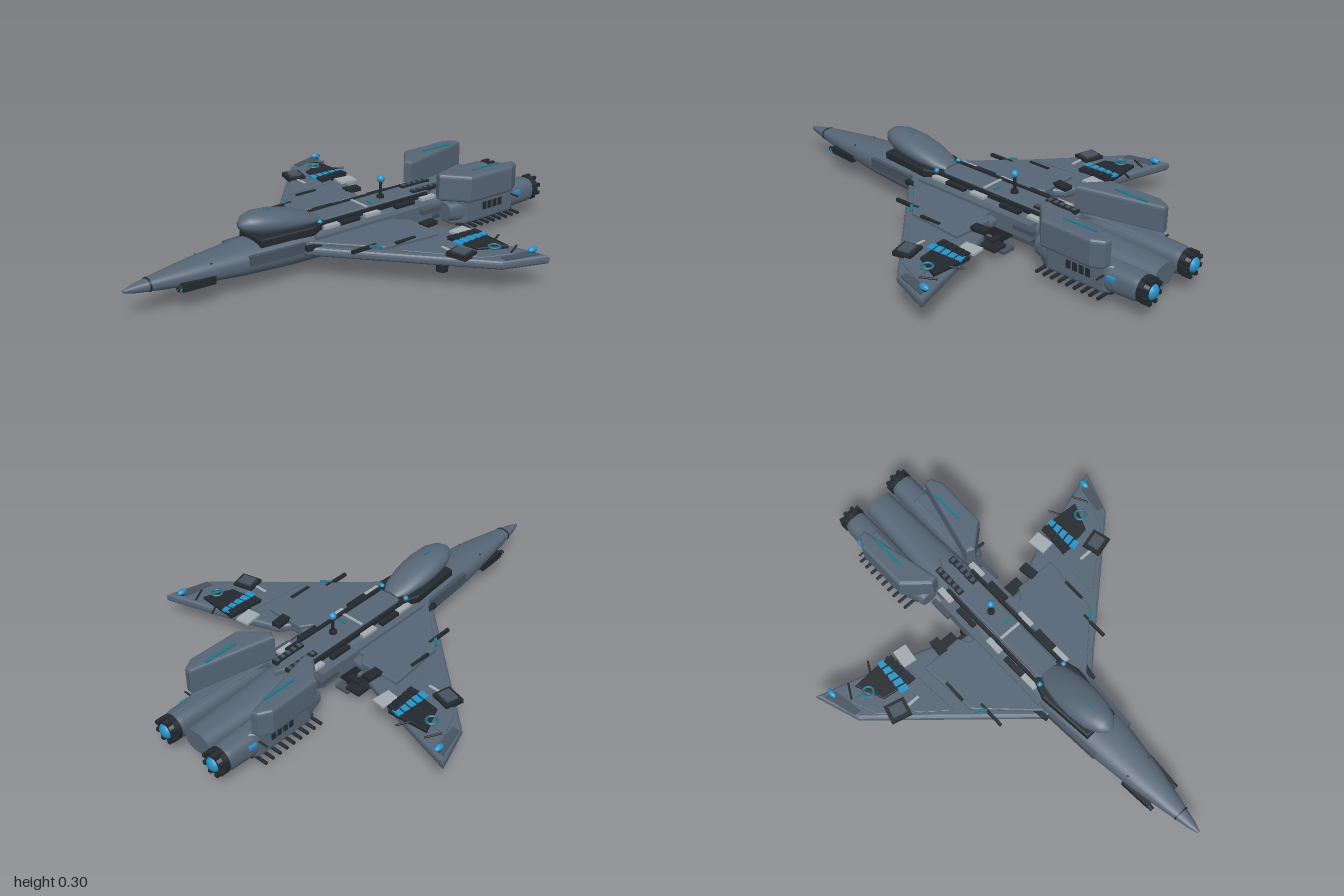
import * as THREE from 'three';

const mat = (name, color, side = THREE.FrontSide) => {
  const m = new THREE.MeshStandardMaterial({ color, side });
  m.name = name;
  return m;
};

export function createModel() {
  const hull = mat('slate hull', 0x566575);
  const panel = mat('dark slate panel', 0x47535f);
  const dark = mat('gunmetal', 0x23292f);
  const light = mat('pale grey plate', 0xa3abb1);
  const blue = mat('blue light', 0x2592c8);
  const teal = mat('teal strip', 0x1f7688);
  const root = new THREE.Group();
  root.name = 'starfighter';

  const add = (name, geo, m, x = 0, y = 0, z = 0) => {
    const mesh = new THREE.Mesh(geo, m);
    mesh.name = name;
    mesh.position.set(x, y, z);
    root.add(mesh);
    return mesh;
  };
  const box = (name, m, w, h, d, x, y, z, turn = 0) => {
    const b = add(name, new THREE.BoxGeometry(w, h, d), m, x, y, z);
    b.rotation.y = turn;
    return b;
  };
  const ball = (name, r, x, y, z) => add(name, new THREE.SphereGeometry(r, 16, 10), blue, x, y, z);
  const rod = (name, m, r, len, axis, x, y, z, r2 = r, sides = 16) => {
    const g = new THREE.CylinderGeometry(r, r2, len, sides);
    if (axis === 'z') g.rotateX(Math.PI / 2);
    if (axis === 'x') g.rotateZ(Math.PI / 2);
    return add(name, g, m, x, y, z);
  };
  // Plan outline of [x, z] points raised from y0 to y1, mirrored when s is -1
  const slab = (name, m, pts, y0, y1, bevel, s = 1) => {
    const shape = new THREE.Shape(pts.map(([x, z]) => new THREE.Vector2(x * s, -z)));
    const g = new THREE.ExtrudeGeometry(shape, {
      depth: y1 - y0 - 2 * bevel, bevelEnabled: bevel > 0, bevelThickness: bevel,
      bevelSize: bevel, bevelOffset: -bevel, bevelSegments: 3,
    });
    g.rotateX(-Math.PI / 2);
    return add(name, g, m, 0, y0 + bevel, 0);
  };
  // Rounded sections [z, half width, bottom, top] from tail to nose, joined and capped
  const loft = (name, m, rows, power = 0.8, x = 0) => {
    const n = 32, pos = [], idx = [];
    const bend = (v) => Math.sign(v) * Math.abs(v) ** power;
    const ring = ([z, w, y0, y1]) => {
      for (let i = 0; i < n; i++) {
        const a = (i / n) * Math.PI * 2;
        pos.push(w * bend(Math.cos(a)), (y0 + y1) / 2 + ((y1 - y0) / 2) * bend(Math.sin(a)), z);
      }
    };
    rows.forEach(ring);
    for (let r = 0; r < rows.length - 1; r++) {
      for (let i = 0; i < n; i++) {
        const a = r * n + i, b = r * n + ((i + 1) % n);
        idx.push(a, b, b + n, a, b + n, a + n);
      }
    }
    [rows[0], rows[rows.length - 1]].forEach((row, end) => {
      const start = pos.length / 3;
      ring(row);
      pos.push(0, (row[2] + row[3]) / 2, row[0]);
      for (let i = 0; i < n; i++) {
        const a = start + i, b = start + ((i + 1) % n);
        idx.push(start + n, end ? a : b, end ? b : a);
      }
    });
    const g = new THREE.BufferGeometry();
    g.setAttribute('position', new THREE.Float32BufferAttribute(pos, 3));
    g.setIndex(idx);
    g.computeVertexNormals();
    return add(name, g, m, x);
  };

  // Fuselage, nose cap and seam
  loft('fuselage', hull, [
    [-0.94, 0.063, 0.07, 0.165], [-0.7, 0.075, 0.062, 0.175], [-0.45, 0.09, 0.055, 0.185],
    [-0.2, 0.108, 0.05, 0.19], [0.1, 0.116, 0.048, 0.193], [0.3, 0.11, 0.052, 0.192],
    [0.5, 0.096, 0.062, 0.183], [0.7, 0.07, 0.078, 0.168], [0.85, 0.042, 0.092, 0.153],
    [0.96, 0.018, 0.106, 0.137], [1, 0.005, 0.115, 0.127],
  ]);
  loft('noseSeam', dark, [[0.896, 0.0345, 0.0965, 0.149], [0.902, 0.0335, 0.097, 0.148]]);

  // Cockpit pod on its dark saddle
  loft('canopy', hull, [
    [0.13, 0.035, 0.193, 0.215], [0.17, 0.06, 0.185, 0.238], [0.25, 0.075, 0.187, 0.268],
    [0.33, 0.078, 0.193, 0.288], [0.41, 0.068, 0.204, 0.297], [0.46, 0.046, 0.22, 0.288],
    [0.485, 0.022, 0.235, 0.27], [0.491, 0.003, 0.25, 0.257],
  ], 0.95);
  slab('canopySaddle', dark, [[-0.07, 0.12], [0.07, 0.12], [0.095, 0.2], [0.075, 0.44], [-0.075, 0.44], [-0.095, 0.2]], 0.165, 0.205, 0.008);
  box('canopyStrip', teal, 0.007, 0.006, 0.05, 0, 0.291, 0.37);
  box('canopyRearStrip', teal, 0.07, 0.012, 0.008, 0, 0.222, 0.165);

  // Dorsal spine, deck and sensor mast
  slab('dorsalSpine', hull, [[-0.05, 0.14], [0.05, 0.14], [0.055, -0.42], [0, -0.54], [-0.055, -0.42]], 0.17, 0.205, 0.006);
  rod('mast', dark, 0.007, 0.09, 'y', 0, 0.245, -0.215);
  rod('mastBase', dark, 0.016, 0.012, 'y', 0, 0.21, -0.215);
  ball('mastLight', 0.016, 0, 0.288, -0.215);
  box('spineStrip', teal, 0.035, 0.006, 0.01, 0.02, 0.206, -0.14);
  box('spineMark', light, 0.1, 0.005, 0.012, 0, 0.2055, -0.1);
  box('bellyBay', panel, 0.11, 0.03, 0.34, 0, 0.05, -0.2);

  for (const s of [1, -1]) {
    // Spine rails, vents and pale plates
    box('spineRail', dark, 0.014, 0.02, 0.54, s * 0.066, 0.194, -0.14);
    box('rearVent', dark, 0.026, 0.014, 0.15, s * 0.036, 0.206, -0.43);
    for (let i = 0; i < 5; i++) box('ventSlat', panel, 0.02, 0.006, 0.014, s * 0.036, 0.214, -0.49 + i * 0.03);
    for (const z of [-0.4, -0.1, 0.11]) box('palePlate', light, 0.026, 0.012, 0.075, s * 0.085, 0.187, z);
    for (const z of [-0.27, 0.02]) box('deckHatch', dark, 0.022, 0.014, 0.1, s * 0.088, 0.187, z);
    box('shoulder', hull, 0.05, 0.07, 0.6, s * 0.095, 0.135, -0.1);
    box('intakeCheek', panel, 0.02, 0.04, 0.25, s * 0.1, 0.14, 0.38, s * -0.06);
    ball('cockpitLight', 0.011, s * 0.065, 0.205, 0.15);

    // Nose cheek guns and lamps
    box('noseGun', dark, 0.022, 0.032, 0.14, s * 0.068, 0.1, 0.72, s * -0.06);
    rod('noseGunMuzzle', dark, 0.01, 0.03, 'z', s * 0.066, 0.1, 0.795);
    ball('noseLamp', 0.011, s * 0.066, 0.098, 0.8);
    box('noseSlit', dark, 0.03, 0.006, 0.008, s * 0.045, 0.158, 0.655);
    ball('noseDot', 0.007, s * 0.035, 0.155, 0.715);

    // Wing with raised inner and outer panels
    slab('wing', hull, [[0.08, 0.29], [0.115, 0.265], [0.69, -0.25], [0.755, -0.44], [0.4, -0.335], [0.25, -0.28], [0.22, -0.235], [0.08, -0.225]], 0.105, 0.143, 0.014, s);
    slab('innerWingPanel', hull, [[0.11, 0.24], [0.33, 0.03], [0.35, -0.23], [0.17, -0.235], [0.14, -0.19], [0.11, -0.19]], 0.13, 0.158, 0.006, s);
    slab('outerWingPanel', hull, [[0.38, -0.01], [0.62, -0.21], [0.67, -0.33], [0.4, -0.27]], 0.135, 0.149, 0.004, s);
    slab('tipPanel', panel, [[0.69, -0.27], [0.73, -0.41], [0.68, -0.395], [0.66, -0.27]], 0.14, 0.147, 0, s);

    // Striped wing equipment block
    slab('equipmentBlock', dark, [[0.41, -0.22], [0.56, -0.24], [0.61, -0.36], [0.43, -0.37]], 0.138, 0.158, 0.004, s);
    for (let i = 0; i < 5; i++) {
      box('equipmentStripe', blue, 0.038, 0.008, 0.026, s * (0.474 - i * 0.002), 0.158, -0.22 - i * 0.034, s * 0.2);
      box('equipmentFin', dark, 0.04, 0.008, 0.024, s * (0.43 + 0.002 * i), 0.161, -0.23 - i * 0.03);
    }
    box('equipmentCase', dark, 0.09, 0.018, 0.08, s * 0.55, 0.152, -0.165, s * 0.25);
    box('equipmentCaseLid', panel, 0.06, 0.01, 0.05, s * 0.55, 0.164, -0.165, s * 0.25);
    box('paleWingPlate', light, 0.06, 0.01, 0.08, s * 0.378, 0.148, -0.325, s * 0.12);
    box('wingMark', light, 0.06, 0.004, 0.012, s * 0.48, 0.15, -0.155);
    box('flapMotor', dark, 0.04, 0.018, 0.07, s * 0.25, 0.157, -0.26, s * 0.1);
    const dial = add('wingRing', new THREE.TorusGeometry(0.022, 0.005, 8, 20), teal, s * 0.588, 0.158, -0.305);
    dial.rotation.x = Math.PI / 2;
    for (const [x, z] of [[0.52, -0.38], [0.64, -0.36]]) rod('wingAerial', dark, 0.004, 0.07, 'z', s * x, 0.152, z).rotation.y = s * 0.5;
    box('wingConduit', dark, 0.012, 0.01, 0.1, s * 0.33, 0.159, -0.07);
    box('leadingEdgeGun', dark, 0.012, 0.014, 0.12, s * 0.285, 0.152, 0.1);
    box('leadingEdgeStrip', teal, 0.05, 0.008, 0.012, s * 0.305, 0.156, 0.06, s * 0.7);
    box('rootStrut', dark, 0.02, 0.02, 0.09, s * 0.135, 0.14, 0.22, s * -0.2);
    rod('tipLightPost', dark, 0.01, 0.02, 'y', s * 0.7, 0.147, -0.4);
    ball('tipLight', 0.013, s * 0.7, 0.158, -0.4).scale.z = 1.8;

    // Pod under the wing
    rod('wingPod', dark, 0.024, 0.075, 'y', s * 0.44, 0.078, -0.17);

    // Belly strut, foot and side plate
    box('bellyStrut', dark, 0.014, 0.075, 0.05, s * 0.103, 0.05, -0.22);
    box('strutHousing', dark, 0.05, 0.04, 0.13, s * 0.1, 0.08, -0.21);
    box('strutFoot', panel, 0.064, 0.014, 0.11, s * 0.103, 0.007, -0.225);
    box('sidePlate', dark, 0.07, 0.012, 0.11, s * 0.185, 0.06, -0.25);
    box('sidePlateArm', dark, 0.08, 0.012, 0.025, s * 0.14, 0.07, -0.25);
    box('rearFlank', panel, 0.022, 0.02, 0.1, s * 0.13, 0.15, -0.38);

    // Engine nacelle with nozzle and glowing dome
    loft('nacelle', hull, [
      [-0.95, 0.046, 0.075, 0.165], [-0.92, 0.052, 0.067, 0.173], [-0.75, 0.055, 0.062, 0.177],
      [-0.55, 0.055, 0.062, 0.177], [-0.46, 0.036, 0.085, 0.16],
    ], 0.75, s * 0.13);
    rod('nozzleCollar', dark, 0.053, 0.022, 'z', s * 0.13, 0.12, -0.952);
    rod('nozzle', dark, 0.048, 0.025, 'z', s * 0.13, 0.12, -0.97, 0.04);
    for (let i = 0; i < 8; i++) {
      const a = (i + 0.5) * Math.PI / 4;
      box('nozzleClaw', dark, 0.015, 0.015, 0.04, s * 0.13 + 0.046 * Math.cos(a), 0.12 + 0.046 * Math.sin(a), -0.966);
    }
    ball('engineGlow', 0.034, s * 0.13, 0.12, -0.972).scale.z = 0.82;

    // Tail block: lower housing with tall wedge fin above
    const wedge = [[0.08, -0.455], [0.115, -0.44], [0.218, -0.53], [0.222, -0.76], [0.195, -0.81], [0.165, -0.815]];
    slab('lowerHousing', hull, [[0.09, -0.48], [0.15, -0.48], [0.185, -0.54], [0.185, -0.8], [0.16, -0.83], [0.1, -0.83]], 0.062, 0.178, 0.012, s);
    slab('tailFin', hull, wedge, 0.168, 0.287, 0.014, s);
    box('finStrip', teal, 0.012, 0.006, 0.15, s * 0.158, 0.288, -0.665);
    for (let i = 0; i < 4; i++) box('housingWindow', dark, 0.006, 0.034, 0.02, s * 0.186, 0.125, -0.64 - i * 0.03);
    for (let i = 0; i < 9; i++) rod('heatSpike', dark, 0.007, 0.11, 'x', s * 0.17, 0.062, -0.52 - i * 0.036, 0.007, 8);
    box('spikeRail', dark, 0.03, 0.012, 0.32, s * 0.15, 0.064, -0.665);
    rod('rearAerial', dark, 0.004, 0.06, 'x', s * 0.195, 0.14, -0.8);
    box('nacelleLamp', blue, 0.012, 0.014, 0.035, s * 0.186, 0.14, -0.835);
  }
  return root;
}
